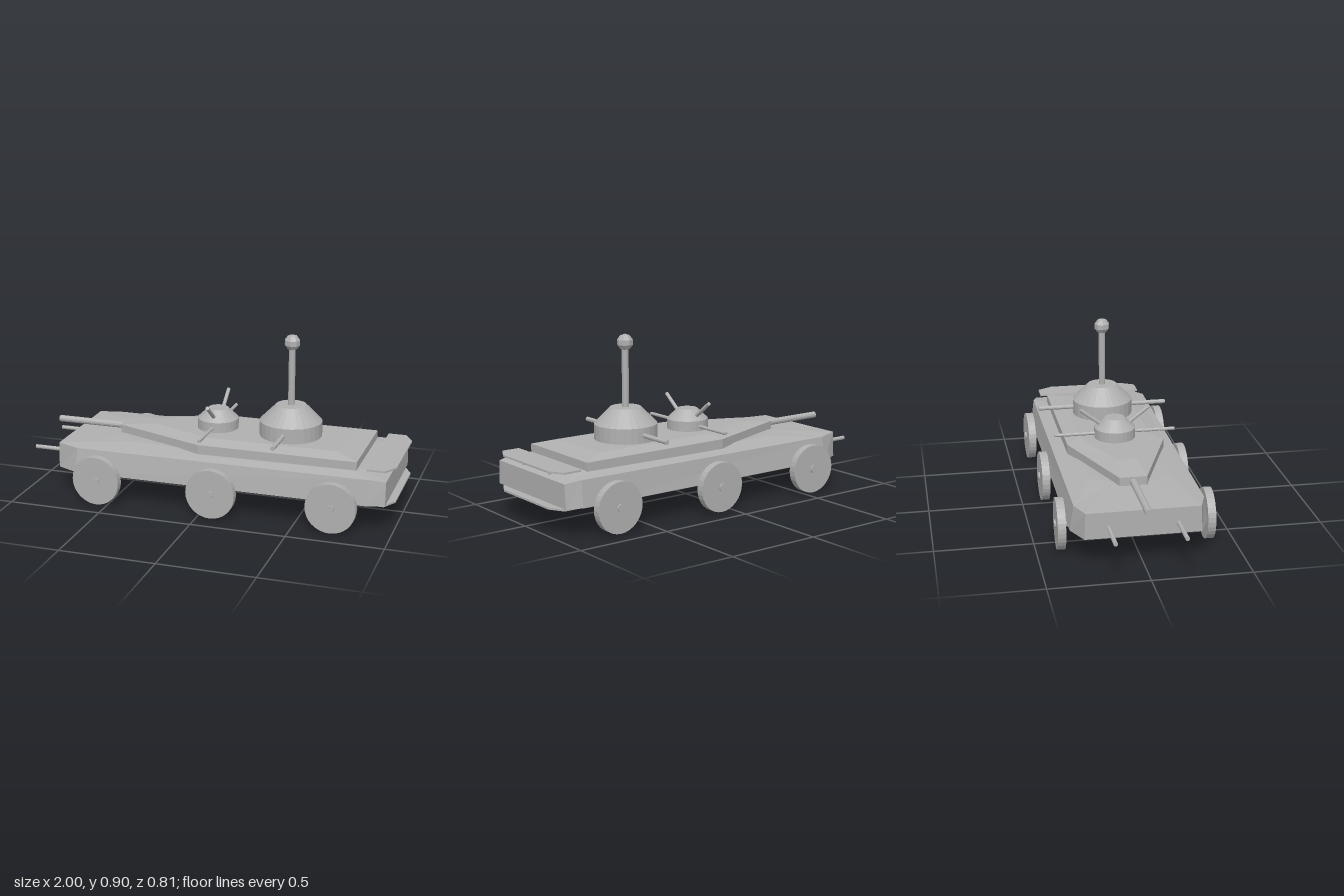
import * as THREE from 'three';

const grey = new THREE.MeshStandardMaterial({ color: 0xb0b0b0 });
grey.name = 'plain grey';
grey.flatShading = true;

// Closed solid through stacked loops of [x, y, z] points, bottom loop first
function loft(loops) {
  const pos = [];
  const tri = (a, b, c) => pos.push(...a, ...b, ...c);
  const n = loops[0].length;
  for (let k = 0; k + 1 < loops.length; k++) {
    const lo = loops[k], hi = loops[k + 1];
    for (let i = 0; i < n; i++) {
      const j = (i + 1) % n;
      tri(lo[i], lo[j], hi[j]);
      tri(lo[i], hi[j], hi[i]);
    }
  }
  const top = loops[loops.length - 1], bottom = loops[0];
  for (let i = 1; i + 1 < n; i++) {
    tri(top[0], top[i], top[i + 1]);
    tri(bottom[0], bottom[i + 1], bottom[i]);
  }
  const g = new THREE.BufferGeometry();
  g.setAttribute('position', new THREE.Float32BufferAttribute(pos, 3));
  g.computeVertexNormals();
  return g;
}

// Mirrored outline from half a list of [x, halfWidth, y], nose to tail
function outline(half) {
  return [
    ...half.map(([x, w, y]) => [x, y, w]),
    ...half.slice().reverse().map(([x, w, y]) => [x, y, -w]),
  ];
}
const level = (y, half) => outline(half.map(([x, w]) => [x, w, y]));

export function createModel() {
  const model = new THREE.Group();
  model.name = 'armouredCar';

  const add = (name, geometry, parent = model) => {
    const m = new THREE.Mesh(geometry, grey);
    m.name = name;
    parent.add(m);
    return m;
  };
  // Round bar between two points
  const bar = (name, from, to, r, parent = model, sides = 12) => {
    const a = new THREE.Vector3(...from), b = new THREE.Vector3(...to);
    const d = b.clone().sub(a);
    const m = add(name, new THREE.CylinderGeometry(r, r, d.length(), sides), parent);
    m.position.copy(a).add(b).multiplyScalar(0.5);
    m.quaternion.setFromUnitVectors(new THREE.Vector3(0, 1, 0), d.normalize());
    return m;
  };

  // Hull with chamfered ends and a gently raised deck
  add('hull', loft([
    level(0.13, [[-0.71, 0.25], [-0.64, 0.29], [0.82, 0.29], [0.88, 0.27]]),
    level(0.15, [[-0.81, 0.29], [-0.69, 0.345], [0.88, 0.345], [0.96, 0.315]]),
    outline([[-0.81, 0.285, 0.285], [-0.69, 0.325, 0.28], [0.88, 0.33, 0.285], [0.96, 0.305, 0.272]]),
    level(0.303, [[-0.5, 0.1], [-0.42, 0.2], [0.78, 0.25], [0.83, 0.22]]),
  ]));

  // Superstructure tapering to the nose
  const plan = [[-0.54, 0.07], [-0.04, 0.26], [0.8, 0.26]];
  add('superstructure', loft([
    level(0.28, plan),
    level(0.345, plan),
    level(0.366, [[-0.35, 0.05], [0, 0.19], [0.69, 0.19]]),
  ]));

  // Rear plates above and below the tail, with struts
  const tail = [[0.855, 0.29], [0.95, 0.29], [0.995, 0.21]];
  add('rearUpperPlate', loft([level(0.315, tail), level(0.324, tail)]));
  add('rearLowerPlate', loft([level(0.134, tail), level(0.144, tail)]));
  for (const z of [0.12, -0.12]) {
    add('rearPlateStrut', new THREE.BoxGeometry(0.012, 0.05, 0.017)).position.set(0.925, 0.295, z);
  }

  // Turrets: short drum under a cut cone
  const turret = (name, x, r, rTop, yEdge, yTop) => {
    const g = new THREE.Group();
    g.name = name;
    model.add(g);
    g.position.x = x;
    const profile = [[0, 0.35], [r, 0.35], [r, yEdge], [rTop, yTop], [0, yTop]]
      .map(([a, b]) => new THREE.Vector2(a, b));
    add(name + 'Body', new THREE.LatheGeometry(profile, 28), g);
    return g;
  };
  const main = turret('mainTurret', 0.39, 0.164, 0.08, 0.445, 0.53);
  bar('mast', [0, 0.5, 0], [0, 0.84, 0], 0.018, main);
  add('mastBall', new THREE.SphereGeometry(0.043, 8, 5), main).position.y = 0.863;
  const small = turret('smallTurret', -0.01, 0.109, 0.053, 0.42, 0.474);

  for (const s of [1, -1]) {
    bar('mainSideGun', [0, 0.405, 0], [0, 0.405, s * 0.357], 0.012, main);
    bar('smallSideGun', [0, 0.39, 0], [0, 0.39, s * 0.325], 0.009, small);
    bar('raisedGun', [0, 0.425, s * 0.055], [0, 0.524, s * 0.184], 0.01, small);
    bar('lowerNoseGun', [-1, 0.205, s * 0.172], [-0.76, 0.205, s * 0.172], 0.011);
  }
  bar('noseGun', [-0.93, 0.32, 0], [-0.5, 0.32, 0], 0.018);

  // Axles with disc wheels, the front pair slightly turned
  for (const [x, yaw] of [[-0.56, -0.04], [0.07, 0], [0.7, 0.015]]) {
    bar('axle', [x, 0.133, -0.405], [x, 0.133, 0.405], 0.021);
    for (const s of [1, -1]) {
      const w = new THREE.Group();
      w.name = 'wheel';
      w.position.set(x, 0.133, s * 0.376);
      w.rotation.y = yaw;
      model.add(w);
      add('wheelDisc', new THREE.CylinderGeometry(0.13, 0.13, 0.041, 32), w).rotation.x = Math.PI / 2;
    }
  }

  return model;
}
